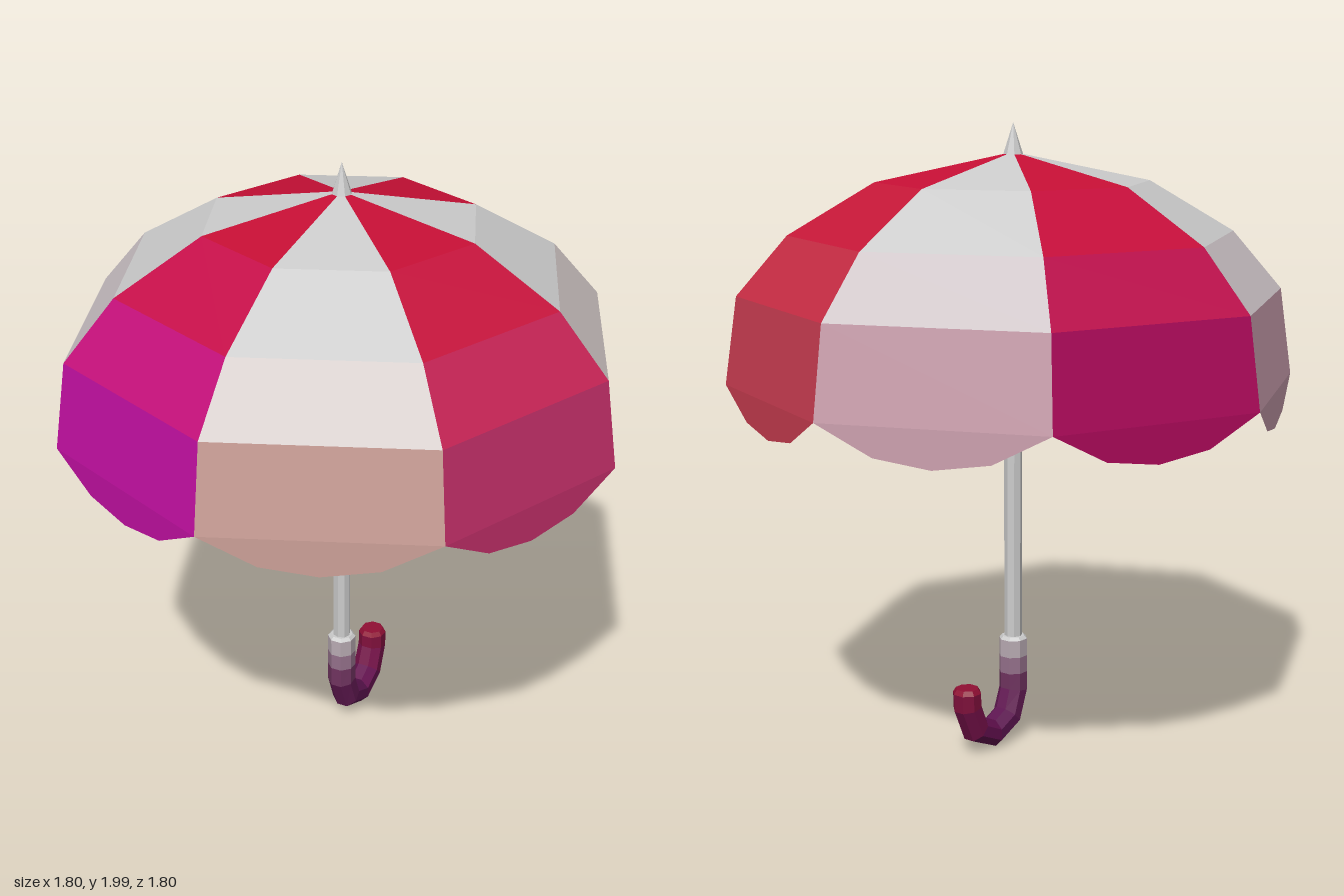
import * as THREE from 'three';

const SIDES = 8;

function paint(color, side = THREE.FrontSide) {
  return new THREE.MeshStandardMaterial({ color, side, flatShading: true });
}

function addMesh(parent, name, geometry, material) {
  const mesh = new THREE.Mesh(geometry, material);
  mesh.name = name;
  parent.add(mesh);
  return mesh;
}

// Convex polygons, each a counter-clockwise list of Vector3, as triangle fans
function facesGeometry(polygons) {
  const pos = [];
  for (const p of polygons) {
    for (let i = 1; i < p.length - 1; i++) {
      for (const v of [p[0], p[i], p[i + 1]]) pos.push(v.x, v.y, v.z);
    }
  }
  const geometry = new THREE.BufferGeometry();
  geometry.setAttribute('position', new THREE.Float32BufferAttribute(pos, 3));
  geometry.computeVertexNormals();
  return geometry;
}

// Eight fabric panels, alternating red and grey, each in four bands with a scalloped hem
function createCanopy() {
  const canopy = new THREE.Group();
  canopy.name = 'canopy';
  const rib = [[0, 1.91], [0.43, 1.82], [0.7, 1.66], [0.86, 1.475], [0.9, 1.2]];
  const redHems = [0xc4306a, 0xc010a0, 0xb00a5c, 0xc83c50];
  const greyHems = [0xcca098, 0xc89cac, 0xcca0ae, 0xcca09a];
  const scallop = [0.09, 0.115, 0.09];

  for (let k = 0; k < SIDES; k++) {
    const panel = new THREE.Group();
    panel.name = 'panel' + (k + 1);
    canopy.add(panel);
    const isRed = k % 2 === 0;
    const base = new THREE.Color(isRed ? 0xc60f35 : 0xcccccc);
    const hem = new THREE.Color((isRed ? redHems : greyHems)[k >> 1]);
    const blend = isRed ? [0, 0.1, 0.5, 1] : [0, 0, 0.25, 1];
    const at = (i, step) => {
      const a = (k + step) * Math.PI / 4;
      return new THREE.Vector3(rib[i][0] * Math.cos(a), rib[i][1], rib[i][0] * Math.sin(a));
    };
    for (let i = 0; i < 4; i++) {
      const a = at(i + 1, 1), b = at(i + 1, 0);
      const faces = [i === 0 ? [at(0, 0), a, b] : [at(i, 1), a, b, at(i, 0)]];
      if (i === 3) {
        const curve = scallop.map((drop, j) => {
          const p = a.clone().lerp(b, (j + 1) / 4);
          p.y -= drop;
          return p;
        });
        faces.push([a, ...curve, b]);
      }
      addMesh(panel, i === 3 ? 'hem' : 'fabricBand' + (i + 1), facesGeometry(faces),
        paint(base.clone().lerp(hem, blend[i]), THREE.DoubleSide));
    }
  }
  return canopy;
}

// Hooked grip: octagonal rings along a path in the z-y plane
function createHandle() {
  const handle = new THREE.Group();
  handle.name = 'handle';
  // z, y, radius, tilt of the ring about x
  const stations = [
    [0, 0.352, 0.034, 0], [0, 0.342, 0.043, 0], [0, 0.285, 0.043, 0], [0, 0.23, 0.043, 0],
    [0, 0.17, 0.043, 0.18], [-0.033, 0.086, 0.044, 0.79], [-0.115, 0.05, 0.044, 1.57],
    [-0.198, 0.088, 0.044, 2.35], [-0.235, 0.17, 0.043, 2.96],
    [-0.237, 0.22, 0.043, 3.14], [-0.237, 0.235, 0.034, 3.14],
  ];
  const colors = [0xc4c0c2, 0xb8aab2, 0x94708a, 0x703460, 0x641a54,
    0x5c1450, 0x641050, 0x741048, 0x80103c, 0x900f34];
  const rings = stations.map(([z, y, r, tilt]) => Array.from({ length: SIDES }, (_, i) => {
    const a = (i + 0.5) / SIDES * Math.PI * 2;
    const s = r / Math.cos(Math.PI / SIDES);
    return new THREE.Vector3(Math.cos(a) * s, 0, Math.sin(a) * s)
      .applyAxisAngle(new THREE.Vector3(1, 0, 0), tilt)
      .add(new THREE.Vector3(0, y, z));
  }));
  const last = rings.length - 1;
  for (let i = 0; i < last; i++) {
    const faces = [];
    for (let j = 0; j < SIDES; j++) {
      const n = (j + 1) % SIDES;
      faces.push([rings[i][j], rings[i][n], rings[i + 1][n], rings[i + 1][j]]);
    }
    if (i === 0) faces.push([...rings[0]].reverse());
    if (i === last - 1) faces.push(rings[last]);
    addMesh(handle, 'gripSegment' + (i + 1), facesGeometry(faces), paint(colors[i]));
  }
  return handle;
}

export function createModel() {
  const model = new THREE.Group();
  model.name = 'umbrella';
  model.add(createCanopy(), createHandle());

  // Straight shaft from the grip to the crown
  const shaft = addMesh(model, 'shaft',
    new THREE.CylinderGeometry(0.029, 0.029, 1.56, SIDES), paint(0xcccccc));
  shaft.position.y = 1.12;

  // Pointed tip on the crown
  const tip = addMesh(model, 'tip', new THREE.ConeGeometry(0.032, 0.1, SIDES), paint(0xcccccc));
  tip.position.y = 1.95;
  return model;
}
